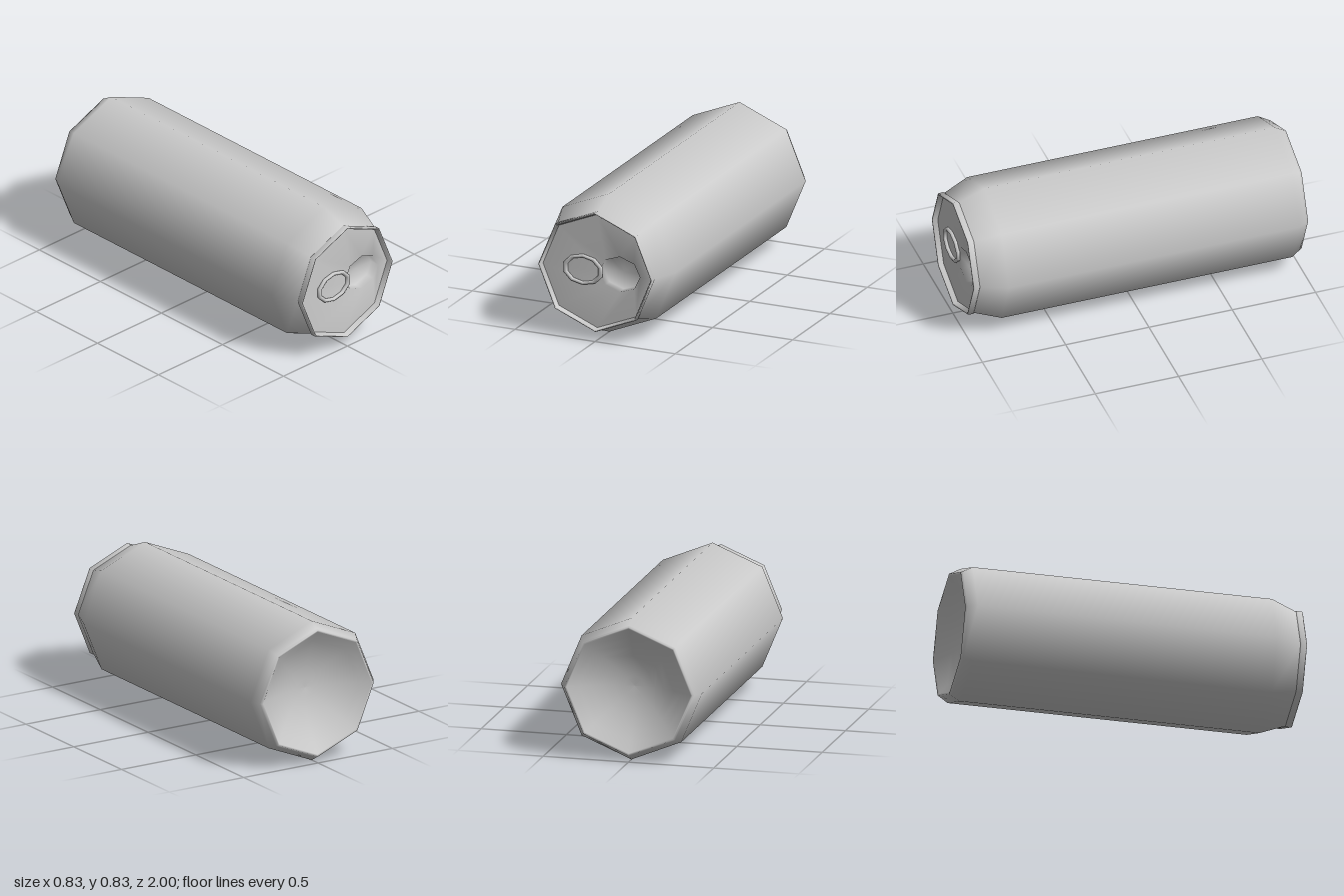
import * as THREE from 'three';

const SIDES = 8;
const CENTRE_Y = 0.414;

const grey = () => new THREE.MeshStandardMaterial({ color: 0xcccccc });

// Eight-sided turned part along z, profile given as [radius, z] from back to front
function turned(name, profile) {
  const geo = new THREE.LatheGeometry(profile.map(([r, z]) => new THREE.Vector2(r, z)), SIDES);
  geo.rotateX(Math.PI / 2);
  const mesh = new THREE.Mesh(geo, grey());
  mesh.name = name;
  return mesh;
}

// Smooth skin through eight-sided loops [cx, rx, ry, z], running inwards to a centre point
function lidSkin(loops) {
  const pos = [], index = [];
  for (const [cx, rx, ry, z] of loops) {
    for (let i = 0; i < SIDES; i++) {
      const a = (i / SIDES) * Math.PI * 2;
      pos.push(cx + rx * Math.cos(a), ry * Math.sin(a), z);
    }
  }
  const last = loops[loops.length - 1];
  pos.push(last[0], 0, last[3]);
  const tip = loops.length * SIDES;
  for (let l = 0; l < loops.length; l++) {
    for (let i = 0; i < SIDES; i++) {
      const j = (i + 1) % SIDES;
      const a = l * SIDES + i, b = l * SIDES + j;
      if (l === loops.length - 1) index.push(a, b, tip);
      else index.push(a, b, b + SIDES, a, b + SIDES, a + SIDES);
    }
  }
  const geo = new THREE.BufferGeometry();
  geo.setAttribute('position', new THREE.Float32BufferAttribute(pos, 3));
  geo.setIndex(index);
  geo.computeVertexNormals();
  return geo;
}

export function createModel() {
  const can = new THREE.Group();
  can.name = 'can';
  const parts = new THREE.Group();
  parts.name = 'canParts';
  parts.position.y = CENTRE_Y;
  can.add(parts);

  // Wall with both tapered shoulders
  parts.add(turned('body', [[0.383, -0.985], [0.413, -0.935], [0.413, 0.81], [0.352, 0.962]]));

  // Foot ring and the hollow dome in the base
  parts.add(turned('footRing', [[0.365, -0.995], [0.375, -1], [0.383, -0.985]]));
  const dome = [];
  for (let i = 0; i <= 6; i++) {
    const r = 0.365 * (i / 6);
    dome.push([r, -0.865 - 0.13 * (i / 6) ** 2]);
  }
  parts.add(turned('baseDome', dome));

  // Raised rim around the lid
  parts.add(turned('rim', [
    [0.352, 0.962], [0.357, 0.967], [0.357, 0.995], [0.354, 1], [0.349, 1], [0.346, 0.995], [0.338, 0.968],
  ]));

  // Lid with its pressed-in mouth
  const lid = new THREE.Mesh(lidSkin([
    [0, 0.34, 0.34, 0.97],
    [0.14, 0.127, 0.105, 0.97],
    [0.14, 0.126, 0.104, 0.915],
  ]), grey());
  lid.name = 'lid';
  parts.add(lid);

  // Ten-sided oval pull ring
  const ringGeo = new THREE.TorusGeometry(1, 0.125, 8, 10);
  ringGeo.rotateZ(Math.PI / 2);
  ringGeo.scale(0.114, 0.082, 0.1);
  const ring = new THREE.Mesh(ringGeo, grey());
  ring.name = 'pullRing';
  ring.position.set(-0.086, 0, 0.977);
  parts.add(ring);

  return can;
}
